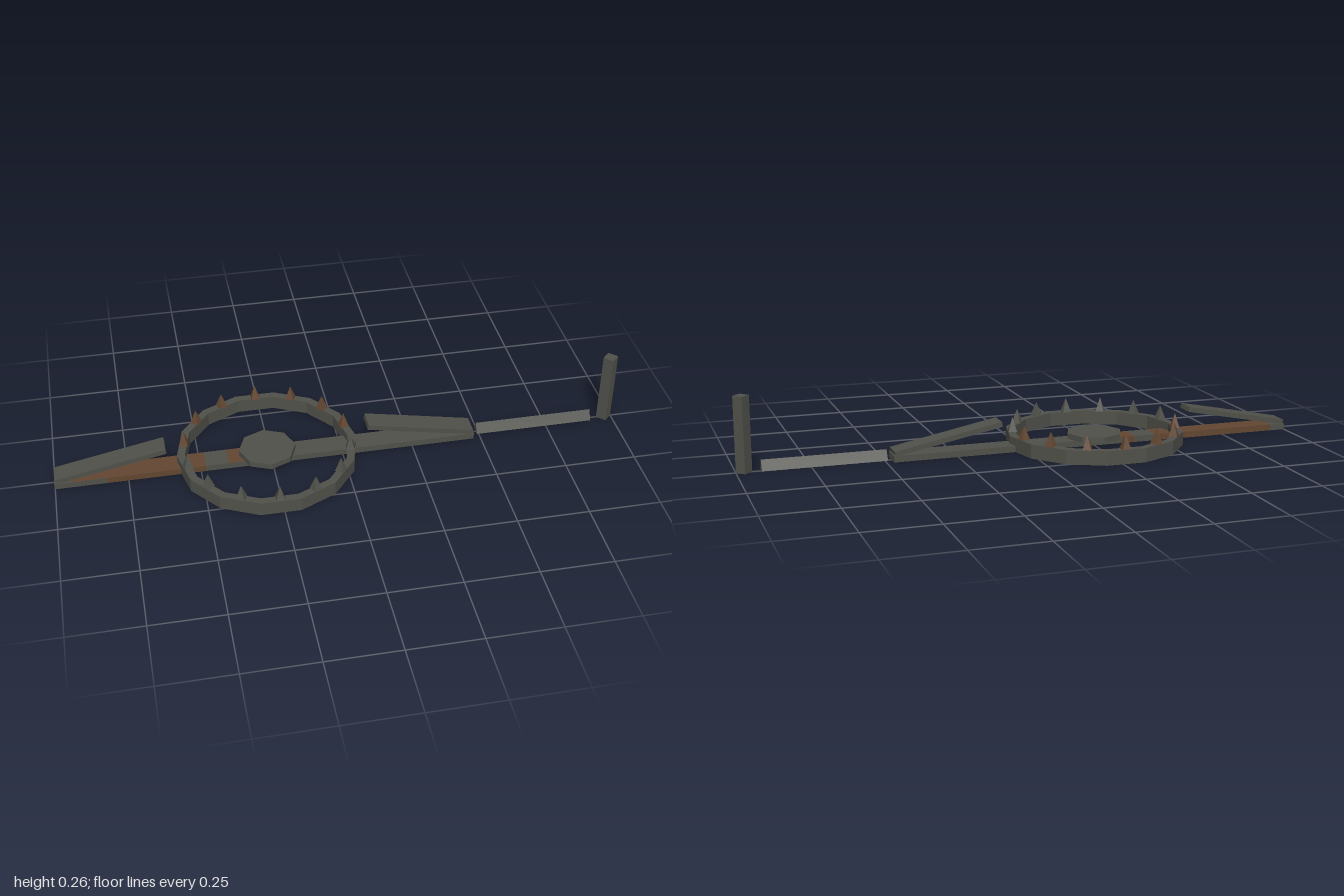
import * as THREE from 'three';

export function createModel() {
  const model = new THREE.Group();
  model.name = 'jawTrap';

  const iron = new THREE.MeshStandardMaterial({ color: 0x50514a, flatShading: true });
  iron.name = 'dark iron';
  const rust = new THREE.MeshStandardMaterial({ color: 0x624631, flatShading: true });
  rust.name = 'rust brown';

  const add = (name, geometry, material, x, y, z, parent = model) => {
    const mesh = new THREE.Mesh(geometry, material);
    mesh.name = name;
    mesh.position.set(x, y, z);
    parent.add(mesh);
    return mesh;
  };

  // The trap itself sits off to one side of the stake and chain
  const trap = new THREE.Group();
  trap.name = 'trap';
  trap.position.x = -0.2625;
  model.add(trap);

  // Base bar in lengths: [start, end, top, bottom, front, back]
  const lengths = [
    [-0.7375, -0.68, iron, iron, iron, iron],
    [-0.68, -0.56, rust, iron, iron, rust],
    [-0.56, -0.38, rust, iron, rust, rust],
    [-0.38, -0.28, rust, rust, rust, rust],
    [-0.28, -0.22, rust, iron, rust, rust],
    [-0.22, -0.14, iron, iron, iron, iron],
    [-0.14, -0.09, rust, iron, iron, rust],
    [-0.09, 0.7375, iron, iron, iron, iron],
  ];
  for (const [a, b, ...sides] of lengths) {
    add('baseBar', new THREE.BoxGeometry(b - a, 0.022, 0.078), [iron, iron, ...sides], (a + b) / 2, 0.011, 0, trap);
  }

  // Leaf springs rising from each end of the bar
  for (const side of [-1, 1]) {
    const spring = add('leafSpring', new THREE.BoxGeometry(0.388, 0.018, 0.073), iron, side * 0.543, 0.065, 0, trap);
    spring.rotation.z = -side * 0.195;
  }

  // Jaw ring: fourteen-sided band
  const band = [[0.315, 0], [0.315, 0.05], [0.287, 0.05], [0.287, 0], [0.315, 0]]
    .map(([r, y]) => new THREE.Vector2(r, y));
  add('jawRing', new THREE.LatheGeometry(band, 14, Math.PI / 2), iron, 0, 0, 0, trap);

  // Teeth, one on the middle of each side of the ring; the back jaw is rusted
  const tooth = new THREE.ConeGeometry(0.022, 0.052, 4);
  tooth.rotateY(Math.PI / 4);
  for (let i = 0; i < 14; i++) {
    const angle = (i + 0.5) * Math.PI / 7;
    const z = Math.sin(angle) * 0.291;
    const mesh = add('tooth', tooth, z < 0 ? rust : iron, Math.cos(angle) * 0.291, 0.075, z, trap);
    mesh.rotation.y = -angle;
  }

  // Trigger pan with a rusted underside
  add('triggerPan', new THREE.CylinderGeometry(0.1, 0.1, 0.02, 8), [iron, iron, rust], 0, 0.032, 0, trap);

  // Three-sided tether rod, ridge upwards
  const rod = new THREE.CylinderGeometry(0.0235, 0.0235, 0.425, 3);
  rod.rotateX(-Math.PI / 2);
  rod.rotateY(Math.PI / 2);
  add('tetherRod', rod, iron, 0.7045, 0.015, 0);

  // Anchor stake
  add('stake', new THREE.CylinderGeometry(0.027, 0.027, 0.26, 4), iron, 0.973, 0.13, 0);

  return model;
}
